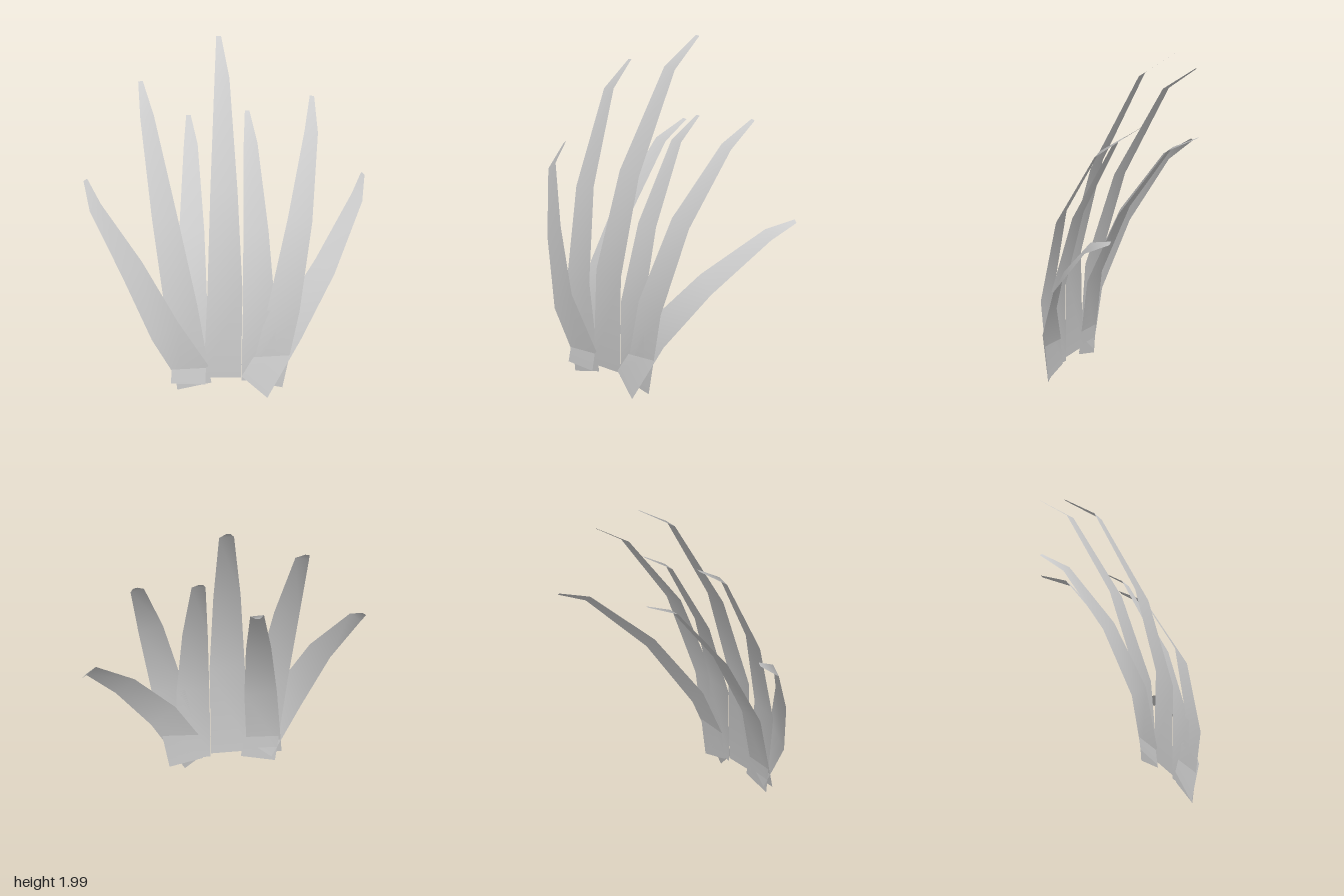
import * as THREE from 'three';

const material = new THREE.MeshStandardMaterial({ color: 0xcccccc, side: THREE.DoubleSide });

// Half widths of a blade from base to tip
const HALF_WIDTHS = [0.1, 0.094, 0.073, 0.04, 0.013];

// A thin tapered strip following a spine of five points, base first.
// roll: turn of each cross edge in degrees; slope: depth gained per unit of height along that edge
function blade(name, spine, roll, slope = 0, widthScale = 1) {
  const geometry = new THREE.PlaneGeometry(1, 1, 1, 4);
  const position = geometry.attributes.position;
  const r = THREE.MathUtils.degToRad(roll);
  for (let i = 0; i < position.count; i++) {
    const row = 4 - Math.floor(i / 2);
    const side = (i % 2 ? 1 : -1) * HALF_WIDTHS[row] * widthScale;
    const [x, y, z] = spine[row];
    const rise = Math.sin(r) * side;
    position.setXYZ(i, x + Math.cos(r) * side, y + rise, z + rise * slope);
  }
  geometry.computeVertexNormals();
  const mesh = new THREE.Mesh(geometry, material);
  mesh.name = name;
  return mesh;
}

export function createModel() {
  const tuft = new THREE.Group();
  tuft.name = 'grassTuft';
  tuft.add(
    // Tall middle blade
    blade('centreBlade', [
      [-0.07, 0.132, 0.345], [-0.055, 0.7, 0.345], [-0.044, 1.27, 0.19],
      [-0.022, 1.845, -0.11], [-0.017, 2.0, -0.33],
    ], -3, 0, 1.08),
    // Blades on the right of the front
    blade('innerLeftBlade', [
      [0.14, 0.105, 0.345], [0.142, 0.555, 0.345], [0.138, 1.005, 0.223],
      [0.133, 1.46, -0.015], [0.132, 1.58, -0.19],
    ], 0),
    blade('middleLeftBlade', [
      [0.18, 0.072, 0.345], [0.285, 0.56, 0.345], [0.395, 1.06, 0.205],
      [0.49, 1.485, -0.07], [0.515, 1.615, -0.26],
    ], -15),
    blade('outerLeftBlade', [
      [0.112, 0.075, 0.377], [0.315, 0.405, 0.318], [0.545, 0.715, 0.148],
      [0.763, 1.0, -0.14], [0.815, 1.06, -0.31],
    ], -43, -0.18),
    // Blades on the left of the front
    blade('innerRightBlade', [
      [-0.27, 0.11, 0.362], [-0.245, 0.545, 0.3], [-0.22, 0.965, 0.1],
      [-0.192, 1.37, -0.205], [-0.185, 1.46, -0.39],
    ], -5, -0.14),
    blade('middleRightBlade', [
      [-0.232, 0.085, 0.345], [-0.308, 0.6, 0.345], [-0.39, 1.13, 0.21],
      [-0.462, 1.65, -0.05], [-0.48, 1.785, -0.235],
    ], 10),
    blade('outerRightBlade', [
      [-0.23, 0.155, 0.345], [-0.405, 0.47, 0.37], [-0.585, 0.835, 0.27],
      [-0.778, 1.155, 0.1], [-0.82, 1.262, -0.045],
    ], 37, 0.08),
  );
  return tuft;
}
